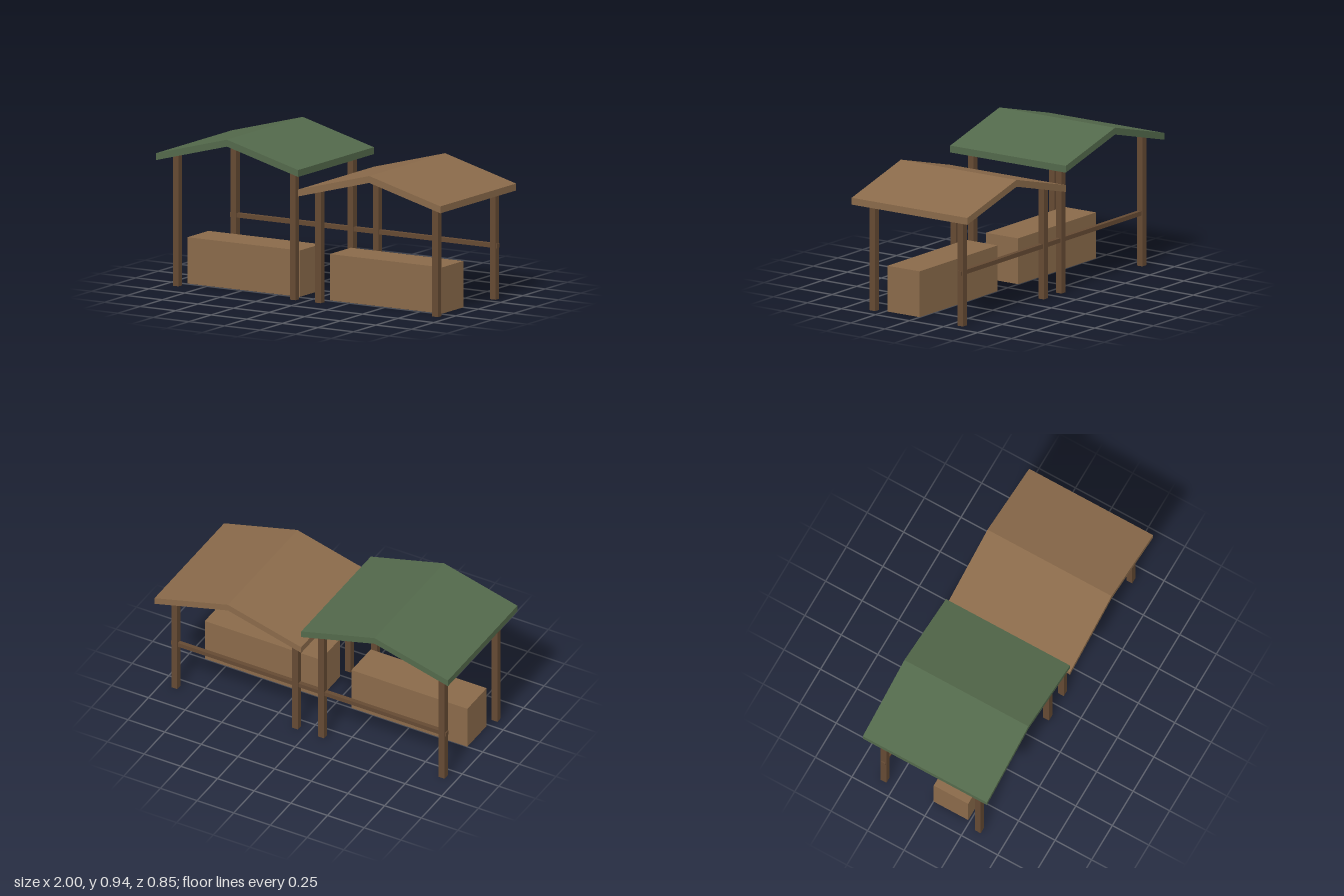
import * as THREE from 'three';

const mat = (name, color) => {
  const m = new THREE.MeshStandardMaterial({ color });
  m.name = name;
  return m;
};

export function createModel() {
  const root = new THREE.Group();
  root.name = 'marketStalls';
  const green = mat('green roof', 0x53694b);
  const wood = mat('light wood', 0x8a6a4a);
  const darkWood = mat('dark wood', 0x654a33);

  const box = (parent, name, material, size, pos) => {
    const mesh = new THREE.Mesh(new THREE.BoxGeometry(...size), material);
    mesh.name = name;
    mesh.position.set(...pos);
    parent.add(mesh);
  };

  // Gabled roof slab, extruded front to back from a chevron section
  const roofDepth = 0.85, rise = 0.133, thick = 0.042;
  const section = new THREE.Shape([
    [-0.5, 0], [0, rise], [0.5, 0],
    [0.5, thick], [0, rise + thick], [-0.5, thick],
  ].map(([x, y]) => new THREE.Vector2(x, y)));
  const roofGeometry = new THREE.ExtrudeGeometry(section, { depth: roofDepth, bevelEnabled: false });
  roofGeometry.translate(0, 0, -roofDepth / 2);

  // One stall: roof, four posts and a counter
  const stall = (name, x, eave, roofMaterial) => {
    const group = new THREE.Group();
    group.name = name;
    group.position.x = x;
    const roof = new THREE.Mesh(roofGeometry, roofMaterial);
    roof.name = 'roof';
    roof.position.y = eave;
    group.add(roof);
    const height = eave + 0.03;
    for (const sx of [-1, 1]) for (const sz of [-1, 1]) {
      box(group, 'post', darkWood, [0.04, height, 0.04], [sx * 0.411, height / 2, sz * 0.323]);
    }
    box(group, 'counter', wood, [0.79, 0.281, 0.236], [0, 0.1405, 0.119]);
    root.add(group);
  };
  stall('tallStall', -0.5, 0.768, green);
  stall('lowStall', 0.5, 0.65, wood);

  // Rail joining both stalls along the back posts
  box(root, 'backRail', darkWood, [1.876, 0.027, 0.027], [0, 0.325, -0.322]);
  return root;
}
